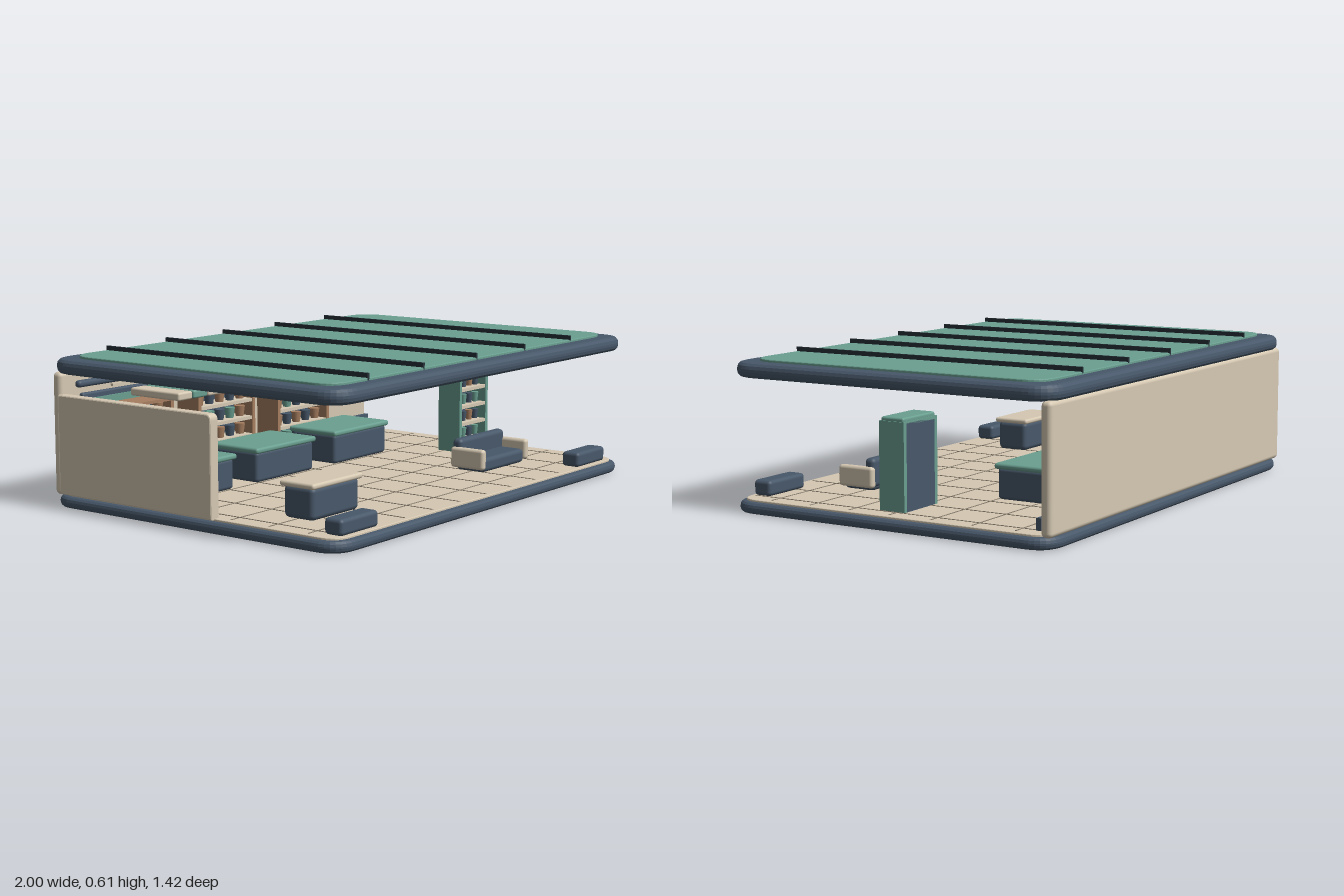
import * as THREE from 'three';
import { RoundedBoxGeometry } from 'three/addons/geometries/RoundedBoxGeometry.js';

const mat = (name, color) => new THREE.MeshStandardMaterial({ name, color });

export function createModel() {
  const navy = mat('navy', 0x48586a), teal = mat('teal', 0x6a9f90), cream = mat('cream', 0xd6c9b3);
  const wood = mat('wood', 0xa67e60), dark = mat('dark seam', 0x27313a), grout = mat('grout', 0x857b6c);
  const model = new THREE.Group();
  model.name = 'shopPavilion';

  const add = (parent, name, geometry, material, x = 0, y = 0, z = 0) => {
    const mesh = new THREE.Mesh(geometry, material);
    mesh.name = name;
    mesh.position.set(x, y, z);
    parent.add(mesh);
    return mesh;
  };
  // Boxes are given by their extents: [x0, x1], [y0, y1], [z0, z1], with an optional edge radius
  const box = (parent, name, material, [x0, x1], [y0, y1], [z0, z1], r = 0) => {
    const w = x1 - x0, h = y1 - y0, d = z1 - z0;
    const geometry = r ? new RoundedBoxGeometry(w, h, d, 3, r) : new THREE.BoxGeometry(w, h, d);
    return add(parent, name, geometry, material, (x0 + x1) / 2, (y0 + y1) / 2, (z0 + z1) / 2);
  };
  const group = (name, x = 0, z = 0) => {
    const g = new THREE.Group();
    g.name = name;
    g.position.set(x, 0, z);
    model.add(g);
    return g;
  };
  // Flat slab with rounded corners and a bevelled rim
  const slab = (name, material, w, d, y0, y1, corner, bevel) => {
    const a = w / 2 - bevel, b = d / 2 - bevel, r = corner;
    const s = new THREE.Shape();
    s.moveTo(-a + r, -b).lineTo(a - r, -b).quadraticCurveTo(a, -b, a, -b + r);
    s.lineTo(a, b - r).quadraticCurveTo(a, b, a - r, b);
    s.lineTo(-a + r, b).quadraticCurveTo(-a, b, -a, b - r);
    s.lineTo(-a, -b + r).quadraticCurveTo(-a, -b, -a + r, -b);
    const g = new THREE.ExtrudeGeometry(s, {
      depth: y1 - y0 - 2 * bevel, bevelEnabled: true, bevelThickness: bevel,
      bevelSize: bevel, bevelSegments: 3, curveSegments: 8,
    });
    g.rotateX(-Math.PI / 2);
    return add(model, name, g, material, 0, y0 + bevel, 0);
  };

  // Base and tiled floor
  slab('base', navy, 2, 1.41, 0, 0.046, 0.09, 0.02);
  slab('floor', cream, 1.95, 1.36, 0.04, 0.054, 0.08, 0.003);
  const tiles = group('tileLines');
  for (let x = -0.9; x < 0.95; x += 0.18)
    box(tiles, 'tileLineAcross', grout, [x - 0.003, x + 0.003], [0.053, 0.0555], [-0.64, 0.66]);
  for (let z = -0.54; z < 0.65; z += 0.18)
    box(tiles, 'tileLineAlong', grout, [-0.95, 0.95], [0.053, 0.0553], [z - 0.003, z + 0.003]);

  // Roof with raised panel and standing seams
  slab('roof', navy, 2, 1.42, 0.52, 0.58, 0.09, 0.025);
  slab('roofPanel', teal, 1.88, 1.28, 0.575, 0.59, 0.1, 0.004);
  for (const x of [-0.735, -0.395, -0.045, 0.3, 0.65])
    box(model, 'roofSeam', dark, [x - 0.005, x + 0.005], [0.58, 0.607], [-0.64, 0.64]);

  // Walls
  box(model, 'backWall', cream, [-0.98, 0.98], [0.045, 0.525], [-0.7, -0.655], 0.018);
  const side = new THREE.Shape();
  side.moveTo(-0.12, 0.05).lineTo(0.66, 0.05).lineTo(0.66, 0.44).lineTo(-0.095, 0.44);
  side.quadraticCurveTo(-0.12, 0.44, -0.12, 0.415);
  const sideGeometry = new THREE.ExtrudeGeometry(side, {
    depth: 0.03, bevelEnabled: true, bevelThickness: 0.007, bevelSize: 0.005, bevelOffset: -0.005, bevelSegments: 2,
  });
  sideGeometry.rotateY(Math.PI / 2);
  add(model, 'sideWall', sideGeometry, cream, -0.983, 0, 0);
  box(model, 'baseboard', navy, [-0.97, 0.975], [0.07, 0.115], [-0.658, -0.638]);

  // Framed wall panels
  for (const x of [-0.695, -0.12, 0.465]) {
    const g = group('wallPanel', x);
    box(g, 'panelFrame', navy, [-0.185, 0.185], [0.25, 0.435], [-0.657, -0.635], 0.008);
    box(g, 'panelFace', teal, [-0.172, 0.172], [0.262, 0.412], [-0.636, -0.627]);
    box(g, 'panelStripe', navy, [0.02, 0.15], [0.37, 0.377], [-0.628, -0.624]);
  }

  // Light rail along the back wall
  box(model, 'lightRail', navy, [-0.92, 0.865], [0.462, 0.49], [-0.642, -0.612], 0.013);
  box(model, 'lightStrip', cream, [-0.73, 0.73], [0.447, 0.457], [-0.631, -0.619]);

  // Shelf unit with tapered pots, its back at z = 0 and its front at z = depth
  const cup = new THREE.CylinderGeometry(0.5, 0.36, 1, 10);
  const shelfUnit = (name, x, z, width, depth, height, frame, count, shelves, itemHeight) => {
    const g = group(name, x, z), h = width / 2, t = 0.018;
    for (const s of [-1, 1])
      box(g, 'sidePanel', frame, [s * h - (s > 0 ? t : 0), s * h + (s < 0 ? t : 0)], [0.054, height], [0, depth]);
    box(g, 'backPanel', navy, [-h + t, h - t], [0.054, height - 0.005], [0, 0.012]);
    box(g, 'topBoard', frame, [-h + t, h - t], [height - 0.012, height], [0, depth]);
    shelves.forEach((y, row) => {
      box(g, 'shelf', cream, [-h + t, h - t], [y - 0.007, y + 0.007], [0.012, depth - 0.002]);
      const pitch = (width - 2 * t) / count;
      for (let i = 0; i < count; i++) {
        const colour = [wood, row % 2 ? navy : teal, row % 2 ? wood : navy][[0, 1, 2, 1, 0][i % 5]];
        const item = add(g, 'pot', cup, colour, (i - (count - 1) / 2) * pitch,
          y + 0.007 + itemHeight / 2, depth * 0.62);
        item.scale.set(pitch * 0.72, itemHeight, pitch * 0.72);
      }
    });
    return g;
  };

  // Service counters, each with a shelf unit behind and a striped canopy above
  for (const x of [-0.695, -0.195, 0.31]) {
    shelfUnit('woodShelf', x, -0.605, 0.355, 0.115, 0.39, wood, 5, [0.095, 0.17, 0.245, 0.32], 0.044);
    const g = group('counter', x);
    box(g, 'counterBody', navy, [-0.18, 0.18], [0.054, 0.178], [-0.41, -0.18], 0.015);
    box(g, 'counterTop', teal, [-0.19, 0.19], [0.172, 0.195], [-0.42, -0.17], 0.01);
    for (let i = 0; i < 4; i++) {
      const c = -0.126 + i * 0.084;
      box(g, 'canopyStripe', i % 2 ? teal : cream, [c - 0.039, c + 0.039], [0.446, 0.477], [-0.4, -0.15], 0.008);
    }
  }

  // Free-standing teal display shelf
  const display = shelfUnit('displayShelf', 0.785, -0.03, 0.22, 0.11, 0.39, teal, 4, [0.1, 0.172, 0.247, 0.322], 0.042);
  box(display, 'displayTop', teal, [-0.105, 0.105], [0.384, 0.405], [0.005, 0.105], 0.008);

  // Checkout desk
  const desk = group('checkoutDesk', -0.66);
  box(desk, 'deskBody', navy, [-0.14, 0.14], [0.054, 0.178], [0.3, 0.44], 0.02);
  box(desk, 'deskTop', cream, [-0.15, 0.15], [0.172, 0.194], [0.29, 0.45], 0.01);

  // Sofa
  const sofa = group('sofa', 0.473);
  box(sofa, 'sofaSeat', navy, [-0.155, 0.155], [0.06, 0.118], [0.3, 0.44], 0.018);
  box(sofa, 'sofaBack', navy, [-0.165, 0.165], [0.075, 0.19], [0.29, 0.335], 0.018);
  for (const s of [-1, 1])
    box(sofa, 'sofaArm', cream, [s * 0.162 - 0.016, s * 0.162 + 0.016], [0.073, 0.157], [0.29, 0.45], 0.013);

  // Front benches
  for (const x of [-0.82, 0.79])
    box(model, 'bench', navy, [x - 0.11, x + 0.11], [0.054, 0.115], [0.59, 0.67], 0.015);

  return model;
}
